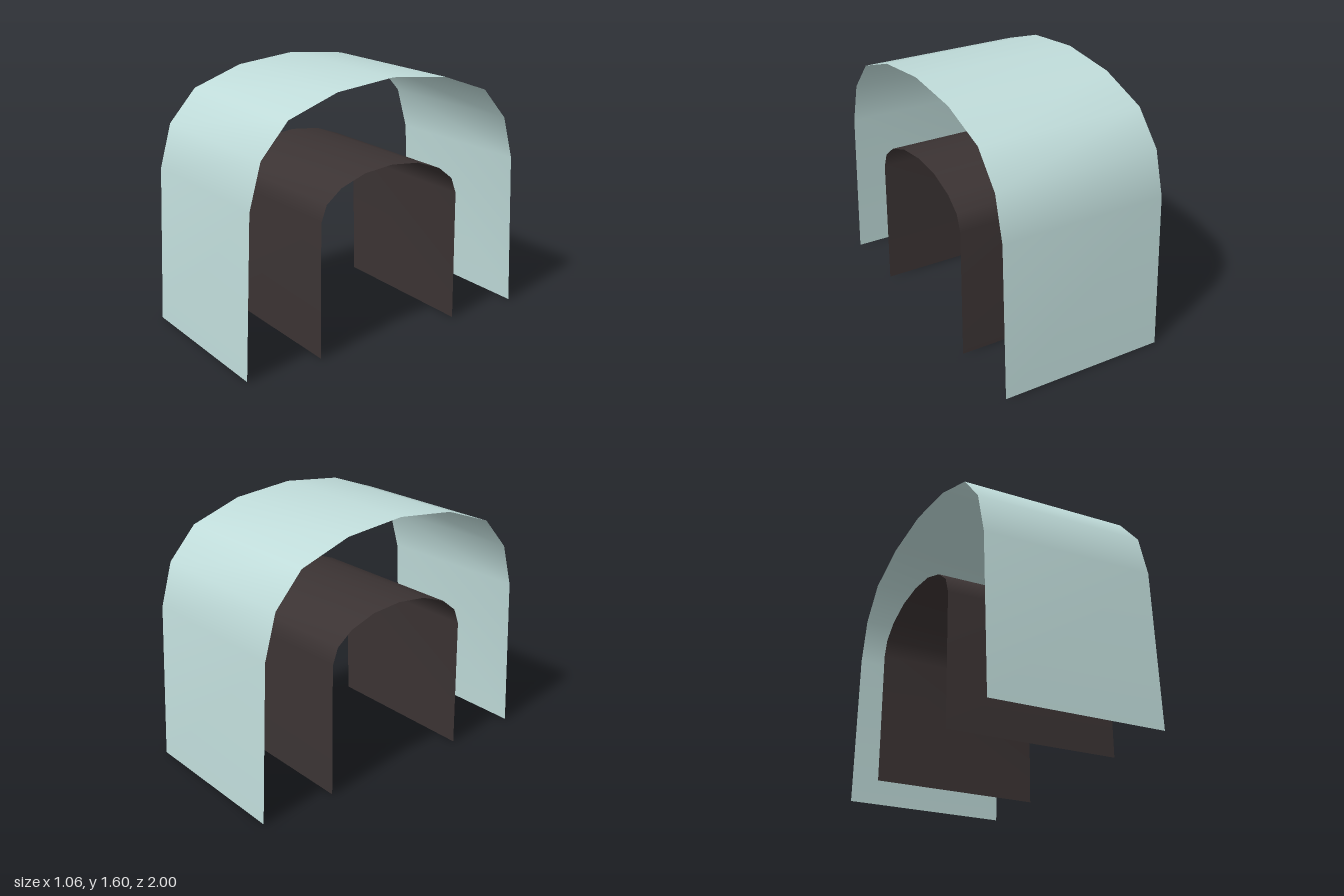
import * as THREE from 'three';

const HALF_WIDTH = 0.53;

// Thin arched sheet: a half profile of [z, y] from the front foot to the crown,
// mirrored to the back and swept across x. Vertices are shared for smooth normals.
function archSheet(name, half, material) {
  const back = half.slice(0, -1).reverse().map(([z, y]) => [-z, y]);
  const profile = [...half, ...back];
  const positions = [];
  const index = [];
  profile.forEach(([z, y], i) => {
    positions.push(-HALF_WIDTH, y, z, HALF_WIDTH, y, z);
    if (i === profile.length - 1) return;
    const a = i * 2;
    index.push(a, a + 1, a + 3, a, a + 3, a + 2);
  });
  const geometry = new THREE.BufferGeometry();
  geometry.setAttribute('position', new THREE.Float32BufferAttribute(positions, 3));
  geometry.setIndex(index);
  geometry.computeVertexNormals();
  const mesh = new THREE.Mesh(geometry, material);
  mesh.name = name;
  return mesh;
}

export function createModel() {
  const paleTeal = new THREE.MeshStandardMaterial({ color: 0xbfdbd9, side: THREE.DoubleSide });
  paleTeal.name = 'paleTeal';
  const darkBrown = new THREE.MeshStandardMaterial({ color: 0x3b3333, side: THREE.DoubleSide });
  darkBrown.name = 'darkBrown';

  const group = new THREE.Group();
  group.name = 'nestedArches';

  // Large outer arch with slightly splayed legs
  group.add(archSheet('outerArch', [
    [1, 0], [0.956, 0.98], [0.88, 1.25], [0.705, 1.447], [0.385, 1.56], [0, 1.6],
  ], paleTeal));

  // Smaller inner arch
  group.add(archSheet('innerArch', [
    [0.505, 0], [0.497, 0.83], [0.46, 0.93], [0.36, 1.01], [0.195, 1.07], [0, 1.09],
  ], darkBrown));

  return group;
}
